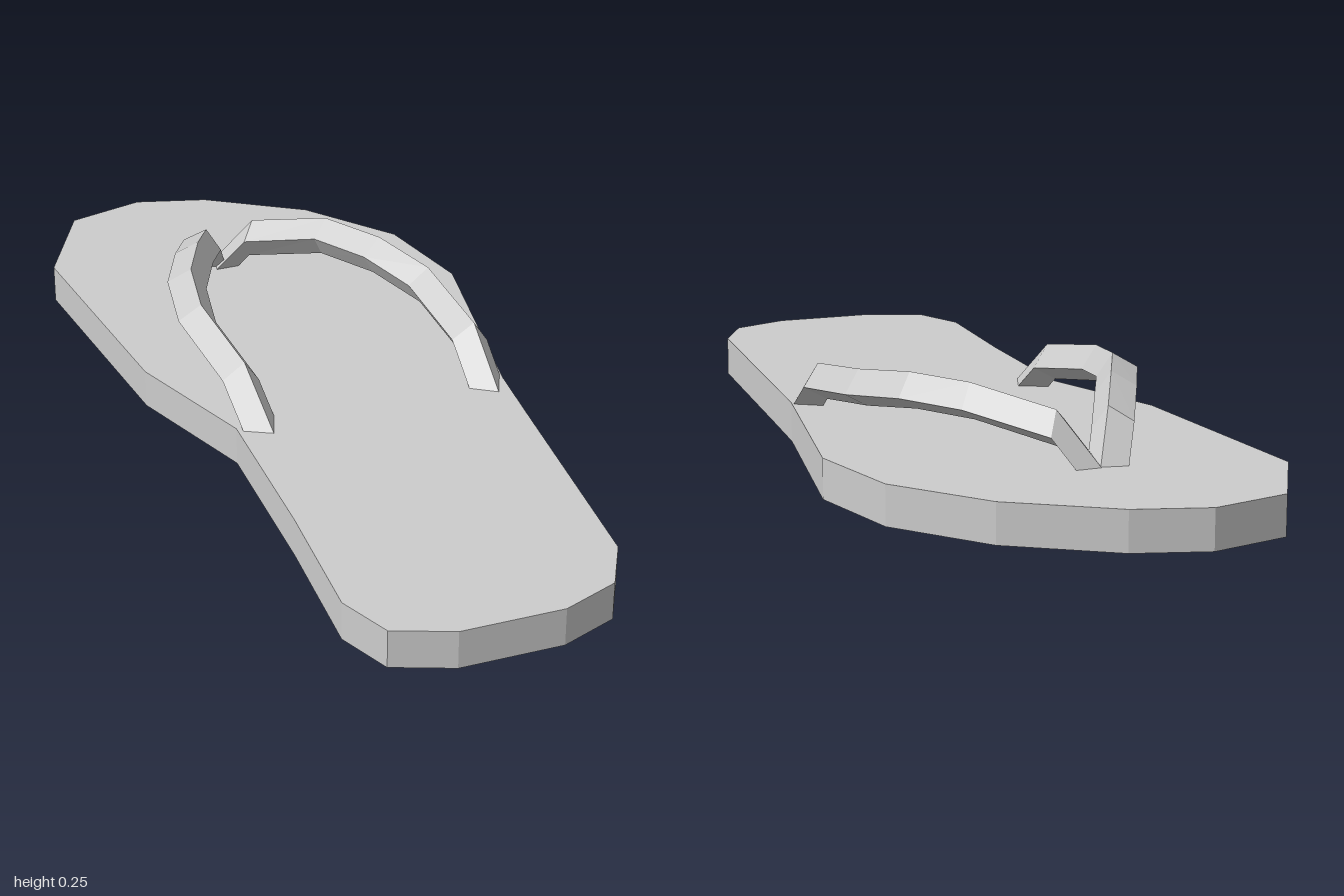
import * as THREE from 'three';

const SOLE_TOP = 0.09;

// Flat sole: plan outline (x, z) extruded straight up
function makeSole(material) {
  const outline = [
    [-0.165, -1], [0, -0.955], [0.225, -0.815], [0.39, -0.615], [0.45, -0.375],
    [0.375, 0.12], [0.365, 0.29], [0.335, 0.835], [0.275, 0.95], [0.147, 1],
    [-0.085, 1], [-0.217, 0.95], [-0.27, 0.83], [-0.262, 0.515], [-0.265, 0.13],
    [-0.385, -0.175], [-0.455, -0.73], [-0.343, -0.955],
  ];
  const shape = new THREE.Shape(outline.map(([x, z]) => new THREE.Vector2(x, z)));
  const geometry = new THREE.ExtrudeGeometry(shape, { depth: SOLE_TOP, bevelEnabled: false });
  geometry.rotateX(Math.PI / 2).translate(0, SOLE_TOP, 0);
  const mesh = new THREE.Mesh(geometry, material);
  mesh.name = 'sole';
  return mesh;
}

// Strap: a leaning four-sided section swept along its upper ridge, toe to heel
function makeStrap(name, ridge, material) {
  const section = [[0, 0], [-0.055, -0.032], [-0.022, -0.085], [0.035, -0.053]];
  const path = ridge.map((p) => new THREE.Vector3(...p));
  const last = path.length - 1;

  const rings = path.map((p, i) => {
    // The end rings copy their neighbour, then slide down to the sole
    const k = Math.min(Math.max(i, 1), last - 1);
    const t = path[k + 1].clone().sub(path[k - 1]).setY(0).normalize();
    const side = new THREE.Vector3(t.z, 0, -t.x);
    const slide = p.clone().sub(path[k]);
    return section.map(([across, up]) => {
      const corner = path[k].clone().addScaledVector(side, across);
      corner.y += up;
      if (i !== k) corner.addScaledVector(slide, (SOLE_TOP - 0.004 - corner.y) / slide.y);
      return corner;
    });
  });

  const points = [];
  for (let i = 0; i < last; i++) {
    for (let j = 0; j < 4; j++) {
      const a = rings[i][j], b = rings[i][(j + 1) % 4];
      const c = rings[i + 1][(j + 1) % 4], d = rings[i + 1][j];
      points.push(a, b, d, b, c, d);
    }
  }
  const geometry = new THREE.BufferGeometry().setFromPoints(points);
  geometry.computeVertexNormals();
  const mesh = new THREE.Mesh(geometry, material);
  mesh.name = name;
  return mesh;
}

export function createModel() {
  const rubber = new THREE.MeshStandardMaterial({ color: 0xcccccc });
  rubber.name = 'light grey rubber';
  rubber.flatShading = true;

  const group = new THREE.Group();
  group.name = 'sandal';
  group.add(
    makeSole(rubber),
    makeStrap('leftStrap', [
      [-0.07, 0.09, -0.645], [0.01, 0.208, -0.59], [0.155, 0.25, -0.465], [0.242, 0.25, -0.33],
      [0.31, 0.23, -0.185], [0.335, 0.197, 0.04], [0.342, 0.09, 0.178],
    ], rubber),
    makeStrap('rightStrap', [
      [-0.07, 0.09, -0.64], [-0.108, 0.206, -0.585], [-0.168, 0.247, -0.455], [-0.227, 0.254, -0.32],
      [-0.248, 0.24, -0.175], [-0.215, 0.2, 0.04], [-0.193, 0.09, 0.176],
    ], rubber),
  );
  return group;
}
